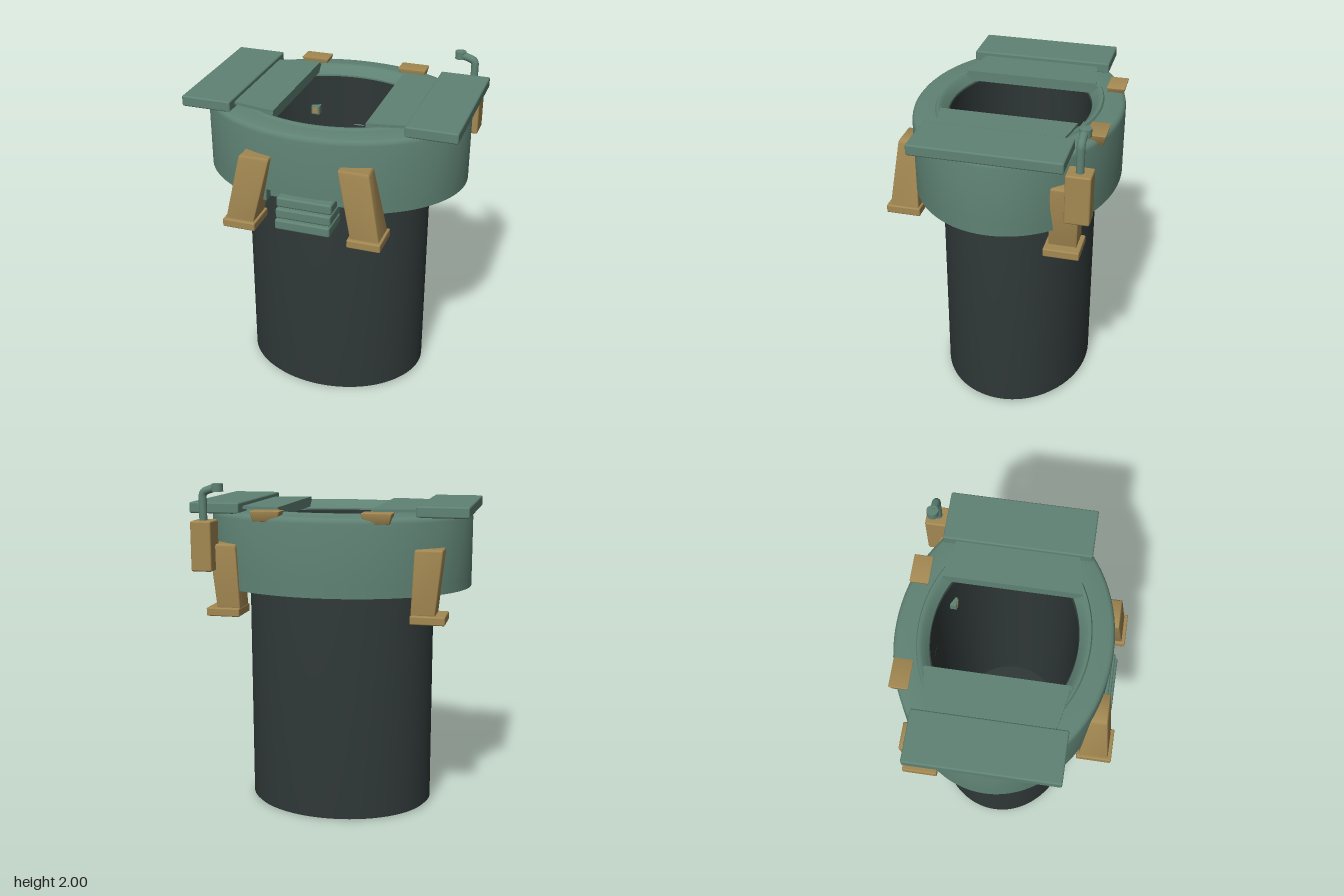
import * as THREE from 'three';
import { toCreasedNormals } from 'three/addons/utils/BufferGeometryUtils.js';
import { RoundedBoxGeometry } from 'three/addons/geometries/RoundedBoxGeometry.js';

const CZ = -0.04; // z of the shaft axis

export function createModel() {
  const model = new THREE.Group();
  model.name = 'siloHatch';
  const mat = (name, color) => {
    const m = new THREE.MeshStandardMaterial({ color });
    m.name = name;
    return m;
  };
  const green = mat('greenPaint', 0x5f8274);
  const tan = mat('tanPaint', 0xa38852);
  const dark = mat('darkMetal', 0x2f3837);

  const add = (name, geo, material) => {
    const mesh = new THREE.Mesh(geo, material);
    mesh.name = name;
    model.add(mesh);
    return mesh;
  };
  // Box from min and max corners, with softly rounded edges
  const box = (name, material, [x0, x1], [y0, y1], [z0, z1], r = 0.008) => {
    const g = new RoundedBoxGeometry(x1 - x0, y1 - y0, z1 - z0, 2, r);
    g.translate((x0 + x1) / 2, (y0 + y1) / 2, (z0 + z1) / 2);
    return add(name, g, material);
  };
  // Leaning, tapered block between two rectangles [x0, x1, z0, z1]
  const taper = (name, material, low, high, y0, y1) => {
    const g = new RoundedBoxGeometry(1, 1, 1, 2, 0.05);
    const p = g.attributes.position;
    const mix = THREE.MathUtils.lerp;
    for (let i = 0; i < p.count; i++) {
      const t = p.getY(i) + 0.5;
      const r = low.map((v, k) => mix(v, high[k], t));
      p.setXYZ(i, mix(r[0], r[1], p.getX(i) + 0.5), mix(y0, y1, t), mix(r[2], r[3], p.getZ(i) + 0.5));
    }
    return add(name, toCreasedNormals(g, 0.6), material);
  };
  // Elliptical turned part
  const turned = (name, material, profile, squash) => {
    const g = new THREE.LatheGeometry(profile.map(([r, y]) => new THREE.Vector2(r, y)), 96);
    g.scale(1, 1, squash);
    g.translate(0, 0, CZ);
    return add(name, toCreasedNormals(g, 0.6), material);
  };
  // Flat outline of [x, z] points raised from y0 to y1
  const slab = (name, material, pts, y0, y1, hole) => {
    const v = (a) => a.map(([x, z]) => new THREE.Vector2(x, -z));
    const s = new THREE.Shape(v(pts));
    if (hole) s.holes.push(new THREE.Path(v(hole)));
    const g = new THREE.ExtrudeGeometry(s, { depth: y1 - y0, bevelEnabled: false });
    g.rotateX(-Math.PI / 2);
    g.translate(0, y0, 0);
    return add(name, toCreasedNormals(g, 0.5), material);
  };

  // Hollow shaft with a floor and an inner wall
  turned('shaft', dark, [
    [0, 0], [0.552, 0], [0.552, 0.012], [0.568, 0.016], [0.568, 1.6],
    [0.53, 1.78], [0.508, 1.78], [0.508, 0.04], [0, 0.04],
  ], 0.808);

  // Collar: upper ring with rounded rim and raised lip
  turned('collar', green, [
    [0.535, 1.455], [0.795, 1.455], [0.795, 1.795], [0.79, 1.812], [0.778, 1.823], [0.76, 1.828],
    [0.63, 1.828], [0.62, 1.842], [0.605, 1.842], [0.585, 1.832], [0.56, 1.81], [0.54, 1.79], [0.535, 1.455],
  ], 0.767);

  // Collar base, with a notch at the front for the steps
  const outline = [];
  const N = 120, edge = Math.asin(0.24 / 0.795);
  const notchZ = 0.48;
  for (let i = 0; i <= N; i++) {
    const a = edge + (i / N) * (2 * Math.PI - 2 * edge);
    outline.push([0.795 * Math.sin(a), CZ + 0.61 * Math.cos(a)]);
  }
  outline.push([-0.24, notchZ], [0.24, notchZ]);
  const hole = [];
  for (let i = 0; i < 64; i++) {
    const a = (i / 64) * 2 * Math.PI;
    hole.push([0.54 * Math.sin(a), CZ + 0.415 * Math.cos(a)]);
  }
  slab('collarBase', green, outline, 1.38, 1.456, hole);

  // Steps hanging below the notch
  for (let i = 0; i < 3; i++) {
    const y = 1.25 + i * 0.063;
    box('step', green, [-0.165, 0.165], [y, y + 0.062], [0.42, 0.622 - i * 0.018], 0.012);
  }

  for (const s of [-1, 1]) {
    const span = (a, b) => (s > 0 ? [a, b] : [-b, -a]);
    const rect = (a, b, z0, z1) => [...span(a, b), z0, z1];
    const inner = s > 0 ? 0.288 : 0.257;

    // Sill beside the opening, and the thin track panel above it
    const sill = [], panel = [];
    for (let i = 0; i <= 16; i++) {
      const x = inner + (0.585 - inner) * (i / 16);
      sill.push([s * x, 0.455 * Math.sqrt(1 - (x / 0.605) ** 2)]);
      const px = inner + (0.53 - inner) * (i / 16);
      panel.push([s * px, 0.415 * Math.sqrt(1 - (px / 0.98) ** 2)]);
    }
    const closed = (half) => {
      const pts = [
        ...half.map(([x, z]) => [x, CZ + z]),
        ...half.slice().reverse().map(([x, z]) => [x, CZ - z]),
      ];
      return pts;
    };
    slab('sill', green, closed(sill), 1.80, 1.845);
    slab('trackPanel', green, closed(panel), 1.845, 1.862);

    // Sliding door, shown open
    box('door', green, span(0.515, 0.815), [1.822, 1.886], [-0.47, 0.385], 0.01);

    // Front leg and foot
    taper('frontLeg', tan, rect(0.29, 0.46, 0.46, 0.635), rect(0.2, 0.38, 0.49, 0.59), 1.27, 1.67);
    box('frontFoot', tan, span(0.275, 0.472), [1.23, 1.28], [0.45, 0.655]);

    // Back leg and foot
    taper('backLeg', tan, rect(0.5, 0.64, -0.52, -0.36), rect(0.52, 0.68, -0.53, -0.37), 1.27, 1.65);
    box('backFoot', tan, span(0.5, 0.7), [1.23, 1.28], [-0.545, -0.34]);

    // Hinge block on the back rim
    taper('rimBlock', tan, rect(0.25, 0.39, -0.6, -0.52), rect(0.23, 0.405, -0.615, -0.505), 1.795, 1.856);

    // Small lamp inside the opening
    box('lampHousing', green, span(0.24, 0.295), [1.53, 1.59], [-0.43, -0.362], 0.005);
    box('lampFace', tan, span(0.25, 0.285), [1.54, 1.58], [-0.366, -0.358], 0.002);
  }

  // Equipment box with a bent pipe and its cap
  box('equipmentBox', tan, [0.64, 0.763], [1.5, 1.79], [-0.605, -0.465], 0.01);
  const path = new THREE.CurvePath();
  const P = (x, y) => new THREE.Vector3(x, y, -0.535);
  path.add(new THREE.LineCurve3(P(0.705, 1.77), P(0.705, 1.925)));
  path.add(new THREE.QuadraticBezierCurve3(P(0.705, 1.925), P(0.705, 1.953), P(0.68, 1.96)));
  path.add(new THREE.LineCurve3(P(0.68, 1.96), P(0.615, 1.982)));
  add('pipe', new THREE.TubeGeometry(path, 40, 0.023, 16), green);
  const cap = new THREE.CylinderGeometry(0.033, 0.033, 0.045, 24);
  cap.translate(0.613, 1.9775, -0.54);
  add('pipeCap', cap, green);

  return model;
}
